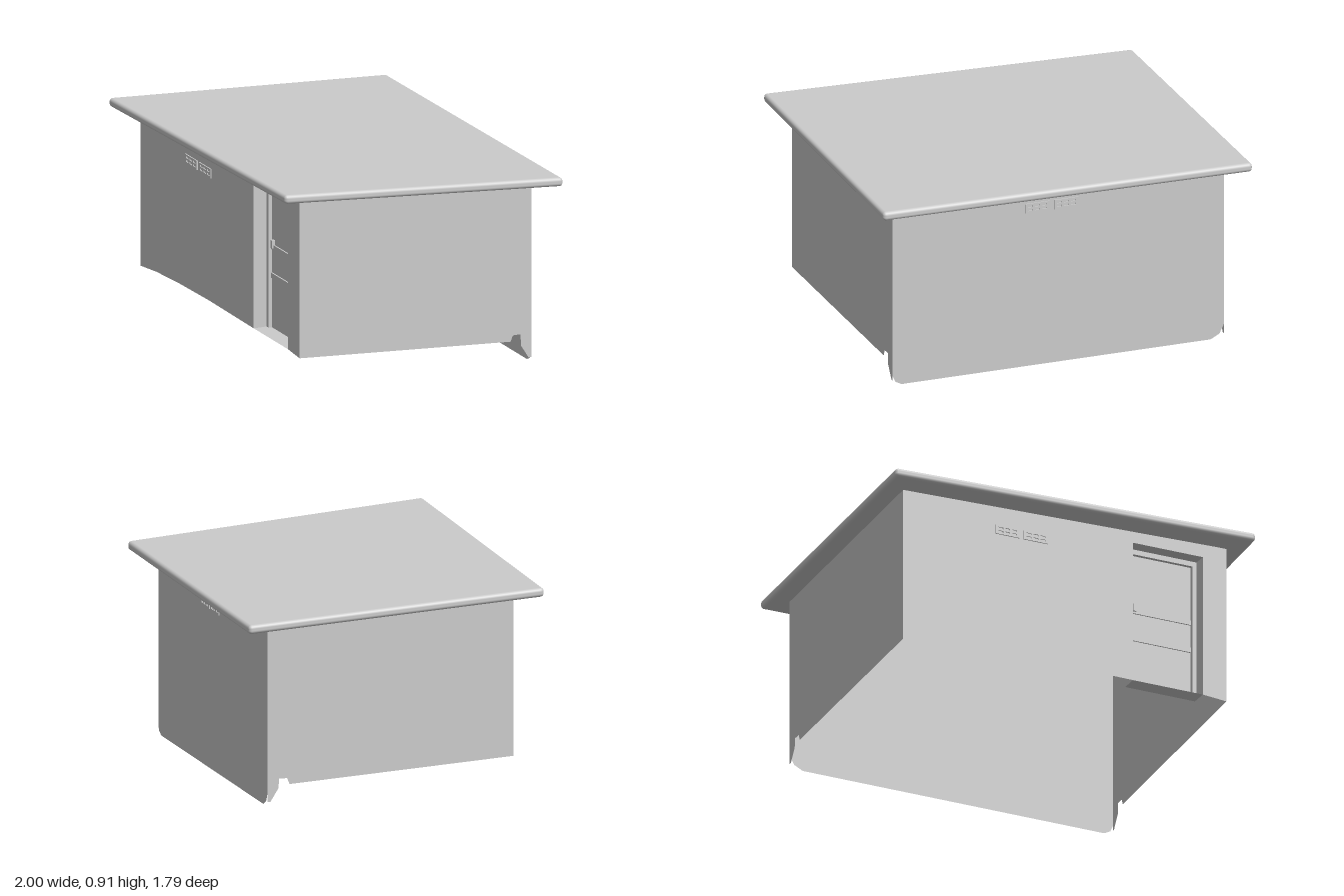
import * as THREE from 'three';
import { RoundedBoxGeometry } from 'three/addons/geometries/RoundedBoxGeometry.js';

const HW = 0.745, HD = 0.535;      // half width and half depth of the walls
const ROOF_W = 1.66, ROOF_D = 1.285, ROOF_T = 0.038;

// Height of the sloping, slightly twisted roof top
const roofTop = (x, z) => {
  const u = x / (ROOF_W / 2), v = z / (ROOF_D / 2);
  return 0.843 + 0.014 * u + 0.044 * v + 0.006 * u * v;
};
const wallTop = (x, z) => roofTop(x, z) - 0.024;

export function createModel() {
  const model = new THREE.Group();
  model.name = 'shed';
  const hut = new THREE.Group();
  hut.name = 'hut';
  hut.rotation.y = -0.371;         // the hut stands turned on its plot
  model.add(hut);

  const solid = new THREE.MeshStandardMaterial({ color: 0xcccccc });
  const sheet = new THREE.MeshStandardMaterial({ color: 0xcccccc, side: THREE.DoubleSide });

  const add = (name, geometry, material, x, y, z, turn = 0, parent = hut) => {
    const mesh = new THREE.Mesh(geometry, material);
    mesh.name = name;
    mesh.position.set(x, y, z);
    mesh.rotation.y = turn;
    parent.add(mesh);
    return mesh;
  };
  const outline = (pts) => new THREE.ShapeGeometry(new THREE.Shape(pts.map(p => new THREE.Vector2(...p))));
  const box = (name, w, h, d, x, y, z, parent) =>
    add(name, new THREE.BoxGeometry(w, h, d), solid, x, y, z, 0, parent);

  // Roof slab: rounded box sheared to the slope
  const roof = new RoundedBoxGeometry(ROOF_W, ROOF_T, ROOF_D, 3, 0.015);
  const p = roof.attributes.position;
  for (let i = 0; i < p.count; i++) {
    p.setY(i, p.getY(i) - ROOF_T / 2 + roofTop(p.getX(i), p.getZ(i)));
  }
  add('roof', roof, solid, 0, 0, 0);

  // Front wall, cut out around the doorway
  const doorL = 0.315, doorR = 0.637, doorTop = 0.8, sillY = 0.172;
  add('frontWall', outline([
    [-HW, 0.145], [-0.6, 0.16], [-0.4, 0.17], [-0.1, 0.175], [doorL, sillY],
    [doorL, doorTop], [doorR, doorTop], [doorR, sillY], [HW, 0.163],
    [HW, wallTop(HW, HD)], [-HW, wallTop(-HW, HD)],
  ]), sheet, 0, 0, HD);

  // Back wall reaches the ground, with rounded lower corners
  add('backWall', outline([
    [-HW, 0.04], [-HW + 0.012, 0.014], [-HW + 0.04, 0],
    [HW - 0.06, 0], [HW - 0.02, 0.02], [HW, 0.06],
    [HW, wallTop(-HW, -HD)], [-HW, wallTop(HW, -HD)],
  ]), sheet, 0, 0, -HD, Math.PI);

  // Side walls: lower edge falls to the back, notched beside the rear corner
  for (const side of [1, -1]) {
    const front = side > 0 ? 0.163 : 0.145, back = side > 0 ? 0.1 : 0.09;
    add(side > 0 ? 'leftWall' : 'rightWall', outline([
      [-HD, front], [HD - 0.095, back], [HD - 0.085, back + 0.026], [HD - 0.05, back + 0.026],
      [HD - 0.047, 0.075], [HD - 0.012, 0.02], [HD, 0.02],
      [HD, wallTop(side * HW, -HD)], [-HD, wallTop(side * HW, HD)],
    ].map(([s, y]) => [s * side, y])), sheet, side * HW, 0, 0, side * Math.PI / 2);
  }

  // Recessed doorway: reveals, head, sill and the door itself
  const doorway = new THREE.Group();
  doorway.name = 'doorway';
  hut.add(doorway);
  const depth = 0.075, midX = (doorL + doorR) / 2, midY = (doorTop + sillY) / 2;
  const w = doorR - doorL, h = doorTop - sillY, doorZ = HD - depth;
  for (const x of [doorL, doorR]) {
    add('reveal', new THREE.PlaneGeometry(depth, h), sheet, x, midY, HD - depth / 2, Math.PI / 2, doorway);
  }
  for (const [name, y] of [['doorHead', doorTop], ['doorSill', sillY]]) {
    add(name, new THREE.PlaneGeometry(w, depth), sheet, midX, y, HD - depth / 2, 0, doorway).rotation.x = -Math.PI / 2;
  }
  add('door', new THREE.PlaneGeometry(w, h), sheet, midX, midY, doorZ, 0, doorway);

  // Door frame and cross rails
  for (const x of [doorL + 0.01, doorR - 0.01]) box('frameStile', 0.02, h, 0.016, x, midY, doorZ + 0.008, doorway);
  box('frameTop', w, 0.022, 0.016, midX, doorTop - 0.011, doorZ + 0.008, doorway);
  for (const y of [0.525, 0.4]) box('doorRail', w - 0.04, 0.022, 0.006, midX, y, doorZ + 0.003, doorway);
  box('doorHandle', 0.014, 0.035, 0.014, doorL + 0.04, 0.54, doorZ + 0.007, doorway);

  // Pairs of small slotted air vents high on the front and back walls
  const ventShape = new THREE.Shape([[-0.055, -0.02], [0.055, -0.02], [0.055, 0.02], [-0.055, 0.02]]
    .map(q => new THREE.Vector2(...q)));
  for (const x of [-0.032, 0, 0.032]) {
    for (const y of [-0.008, 0.008]) {
      ventShape.holes.push(new THREE.Path([[-0.011, -0.004], [-0.011, 0.004], [0.011, 0.004], [0.011, -0.004]]
        .map(([a, b]) => new THREE.Vector2(x + a, y + b))));
    }
  }
  const vent = new THREE.ExtrudeGeometry(ventShape, { depth: 0.005, bevelEnabled: false });
  for (const dx of [-0.065, 0.065]) {
    add('frontVent', vent, solid, -0.2 + dx, 0.732, HD);
    add('backVent', vent, solid, 0.03 + dx, 0.695, -HD, Math.PI);
  }
  return model;
}
